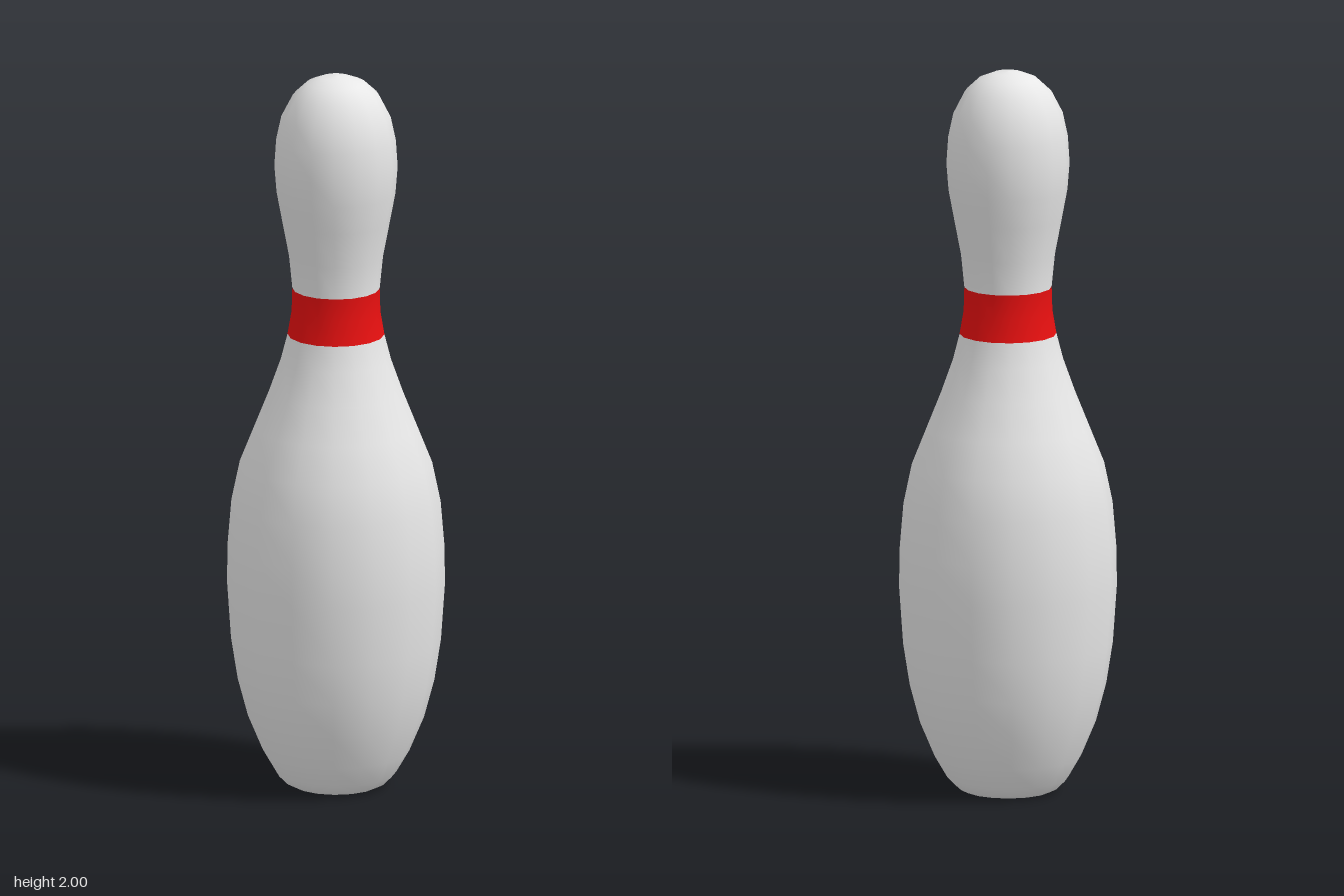
import * as THREE from 'three';

const SIDES = 16;

// Radius and height pairs from the centre of the base to the crown
const PROFILE = [
  [0, 0], [0.12, 0], [0.14, 0.01], [0.165, 0.035], [0.2, 0.095], [0.24, 0.19],
  [0.268, 0.295], [0.286, 0.41], [0.297, 0.57], [0.295, 0.68], [0.285, 0.8],
  [0.262, 0.91], [0.222, 1.01], [0.182, 1.11], [0.15, 1.2], [0.132, 1.27],
  [0.121, 1.335], [0.119, 1.4], [0.128, 1.49], [0.147, 1.59], [0.162, 1.67],
  [0.168, 1.745], [0.163, 1.82], [0.149, 1.885], [0.118, 1.945],
  [0.08, 1.98], [0.04, 1.996], [0, 2],
].map(([r, y]) => new THREE.Vector2(r, y));

const BAND_START = 15; // profile rings that bound the red band
const BAND_END = 17;

// Keeps only the rings from..to of the lathe, so normals stay smooth across parts
function sliceRings(lathe, from, to) {
  const geometry = lathe.clone();
  const n = PROFILE.length;
  const index = [];
  for (let i = 0; i < SIDES; i++) {
    for (let j = from; j < to; j++) {
      const a = i * n + j, b = a + n;
      index.push(a, b, a + 1, b + 1, a + 1, b);
    }
  }
  geometry.setIndex(index);
  return geometry;
}

export function createModel() {
  const white = new THREE.MeshStandardMaterial({ color: 0xf2f2f2 });
  white.name = 'white';
  const red = new THREE.MeshStandardMaterial({ color: 0xe81010 });
  red.name = 'red';

  const lathe = new THREE.LatheGeometry(PROFILE, SIDES);
  const pin = new THREE.Group();
  pin.name = 'bowlingPin';

  const addPart = (name, from, to, material) => {
    const mesh = new THREE.Mesh(sliceRings(lathe, from, to), material);
    mesh.name = name;
    pin.add(mesh);
  };
  addPart('body', 0, BAND_START, white);
  addPart('neckBand', BAND_START, BAND_END, red);
  addPart('head', BAND_END, PROFILE.length - 1, white);

  return pin;
}
